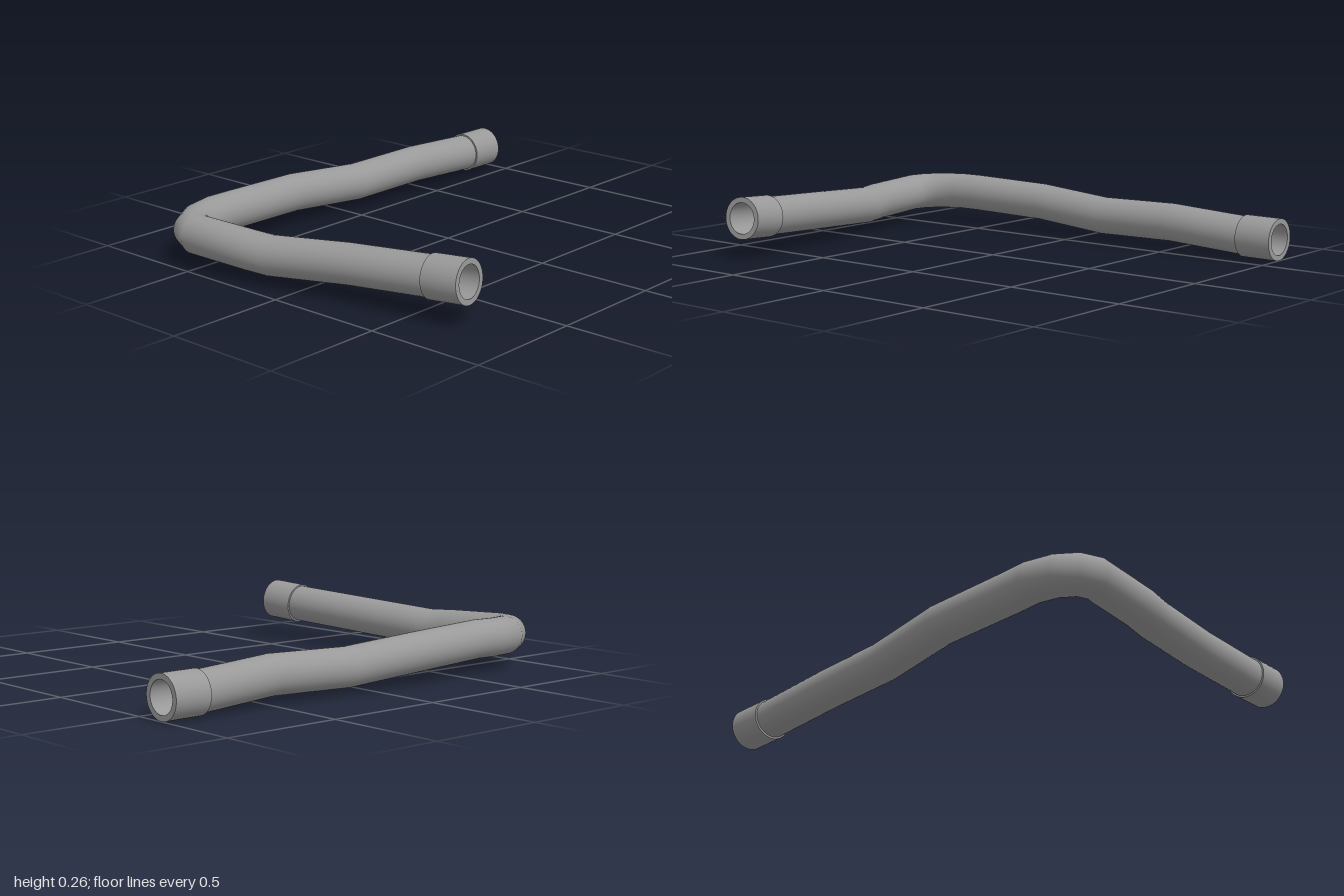
import * as THREE from 'three';

const SIDES = 40;
const TUBE_R = 0.081, BORE_R = 0.067, COLLAR_R = 0.088;

// Centreline of the bent pipe, from the rear end round the elbow to the side end
const PATH = [
  [-0.633, 0.09, -1], [-0.633, 0.091, -0.84], [-0.624, 0.113, -0.48], [-0.643, 0.104, -0.11],
  [-0.667, 0.13, 0.25], [-0.645, 0.142, 0.62], [-0.648, 0.141, 0.72], [-0.625, 0.138, 0.82],
  [-0.58, 0.134, 0.89], [-0.52, 0.131, 0.918], [-0.25, 0.121, 0.894], [-0.15, 0.115, 0.876],
  [0.2, 0.14, 0.803], [0.577, 0.162, 0.75], [0.734, 0.172, 0.733],
].map((p) => new THREE.Vector3(...p));
const LAST = PATH.length - 1;

// Direction along the path, averaged at each bend
function tangent(i) {
  const t = new THREE.Vector3();
  if (i > 0) t.add(PATH[i].clone().sub(PATH[i - 1]).normalize());
  if (i < LAST) t.add(PATH[i + 1].clone().sub(PATH[i]).normalize());
  return t.normalize();
}

// Skin of rings; each station is [path index, radius, optional straight direction].
// It faces outwards along the path, and inwards when the stations run backwards.
function loft(stations) {
  const pos = [], idx = [];
  stations.forEach(([i, r, dir]) => {
    const t = dir || tangent(i);
    const side = new THREE.Vector3().crossVectors(t, new THREE.Vector3(0, 1, 0)).normalize();
    const up = new THREE.Vector3().crossVectors(side, t);
    for (let k = 0; k < SIDES; k++) {
      const a = (k / SIDES) * Math.PI * 2;
      const p = PATH[i].clone().addScaledVector(side, r * Math.cos(a)).addScaledVector(up, r * Math.sin(a));
      pos.push(p.x, p.y, p.z);
    }
  });
  for (let s = 0; s < stations.length - 1; s++) {
    for (let k = 0; k < SIDES; k++) {
      const a = s * SIDES + k, b = s * SIDES + (k + 1) % SIDES;
      idx.push(a, a + SIDES, b, b, a + SIDES, b + SIDES);
    }
  }
  const g = new THREE.BufferGeometry();
  g.setAttribute('position', new THREE.Float32BufferAttribute(pos, 3));
  g.setIndex(idx);
  g.computeVertexNormals();
  return g;
}

export function createModel() {
  const model = new THREE.Group();
  model.name = 'bentPipe';
  const material = new THREE.MeshStandardMaterial({ color: 0x999999 });
  const add = (parent, name, stations) => {
    const mesh = new THREE.Mesh(loft(stations), material);
    mesh.name = name;
    parent.add(mesh);
  };
  const all = PATH.map((_, i) => i);

  // Outer wall, and the bore running the whole length
  add(model, 'pipeWall', all.slice(1, LAST).map((i) => [i, TUBE_R]));
  add(model, 'pipeBore', all.slice().reverse().map((i) => [i, BORE_R]));

  // Slightly wider straight collar on each end
  for (const [name, from, to] of [['rearCollar', 0, 1], ['sideCollar', LAST - 1, LAST]]) {
    const collar = new THREE.Group();
    collar.name = name;
    const dir = PATH[to].clone().sub(PATH[from]).normalize();
    const radii = from === 0 ? [BORE_R, TUBE_R] : [TUBE_R, BORE_R];
    add(collar, 'collarWall', [[from, COLLAR_R, dir], [to, COLLAR_R, dir]]);
    add(collar, 'startRim', [[from, radii[0] - 0.002, dir], [from, COLLAR_R, dir]]);
    add(collar, 'endRim', [[to, COLLAR_R, dir], [to, radii[1] - 0.002, dir]]);
    model.add(collar);
  }
  return model;
}
